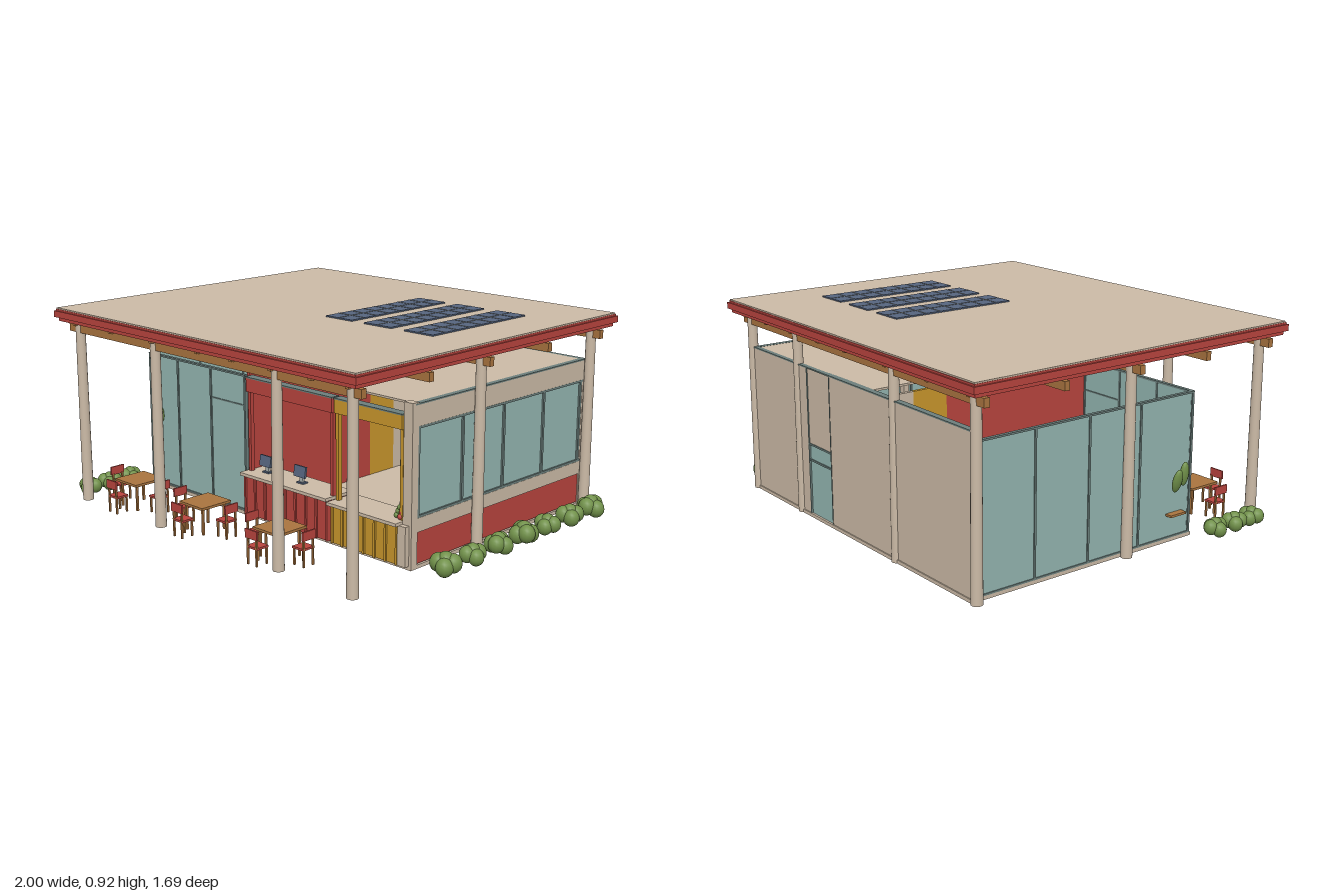
import * as THREE from 'three';

const mat = (name, color, side = THREE.FrontSide) => {
  const m = new THREE.MeshStandardMaterial({ color, side });
  m.name = name;
  return m;
};

export function createModel() {
  const root = new THREE.Group();
  root.name = 'cafePavilion';
  const tan = mat('tan plaster', 0xcbbaa6), red = mat('red paint', 0xb8443e), teal = mat('teal glass', 0x93b5b0);
  const gold = mat('gold paint', 0xc8962c), wood = mat('wood', 0xa9743f), green = mat('leaf green', 0x71914a);
  const slate = mat('slate blue', 0x56657f), trim = mat('grey trim', 0x6c7f7c), pale = mat('pale grey', 0xa9b0b0);

  // Box given by its minimum and maximum corners
  const box = (name, m, x0, x1, y0, y1, z0, z1, parent = root) => {
    const b = new THREE.Mesh(new THREE.BoxGeometry(x1 - x0, y1 - y0, z1 - z0), m);
    b.position.set((x0 + x1) / 2, (y0 + y1) / 2, (z0 + z1) / 2);
    b.name = name;
    parent.add(b);
    return b;
  };
  const group = (name, x = 0, y = 0, z = 0, parent = root) => {
    const g = new THREE.Group();
    g.name = name;
    g.position.set(x, y, z);
    parent.add(g);
    return g;
  };

  // Roof: stepped red fascia with a tan deck
  box('roofSoffit', red, -0.965, 0.905, 0.848, 0.866, -0.835, 0.825);
  box('roofFascia', red, -0.98, 0.92, 0.866, 0.895, -0.85, 0.84);
  box('roofRim', red, -0.972, 0.912, 0.895, 0.903, -0.843, 0.833);
  box('roofDeck', tan, -0.97, 0.91, 0.903, 0.909, -0.84, 0.83);

  // Beams across, rafters front to back
  for (const z of [0.765, 0.385, 0.01, -0.385, -0.77]) box('beam', wood, -0.95, 0.89, 0.798, 0.836, z - 0.013, z + 0.013);
  for (const x of [-0.885, -0.62, -0.33, -0.03, 0.185, 0.415, 0.64, 0.835])
    box('rafter', wood, x - 0.009, x + 0.009, 0.832, 0.849, -0.81, 0.8);

  // Columns
  const colX = [-0.885, -0.34, 0.42, 0.835];
  for (const z of [0.765, 0.01, -0.77]) {
    for (const x of z === 0.01 ? [colX[0], colX[3]] : colX) {
      const c = new THREE.Mesh(new THREE.CylinderGeometry(0.022, 0.025, 0.845, 20), tan);
      c.position.set(x, 0.4225, z);
      c.name = 'column';
      root.add(c);
    }
  }

  // Solar panels with cell lines
  for (const x of [0.147, 0.375, 0.605]) {
    const g = group('solarPanel', x, 0.914, -0.17);
    box('panelFace', slate, -0.078, 0.078, -0.003, 0.003, -0.31, 0.31, g);
    box('cellLine', pale, -0.002, 0.002, 0.003, 0.0045, -0.31, 0.31, g);
    for (let i = 1; i < 8; i++) {
      const z = -0.31 + i * 0.0775;
      box('cellLine', pale, -0.078, 0.078, 0.003, 0.0045, z - 0.002, z + 0.002, g);
    }
  }

  // Floor, back wall with doorway, right room ceiling
  box('floor', tan, -0.87, 0.81, 0, 0.016, -0.785, 0.4);
  box('backWall', tan, -0.87, 0.15, 0.016, 0.69, -0.78, -0.755);
  box('backWall', tan, 0.335, 0.81, 0.016, 0.69, -0.78, -0.755);
  box('backWallPanel', tan, 0.15, 0.335, 0.345, 0.69, -0.777, -0.757);
  box('backDoor', teal, 0.155, 0.33, 0.016, 0.34, -0.775, -0.76);
  for (const y of [0.265, 0.338]) box('doorBar', trim, 0.15, 0.335, y, y + 0.008, -0.781, -0.754);
  for (const x of [0.148, 0.335]) box('wallSeam', trim, x - 0.002, x + 0.002, 0.016, 0.69, -0.782, -0.753);
  box('backWallCap', trim, -0.87, 0.81, 0.688, 0.694, -0.782, -0.753);
  box('ceiling', tan, -0.165, 0.81, 0.685, 0.694, -0.76, 0.37);

  // Right wall: red plinth, sill, windows, header
  box('plinth', red, 0.79, 0.806, 0.02, 0.157, -0.76, 0.385);
  box('sill', tan, 0.788, 0.812, 0.157, 0.217, -0.76, 0.385);
  box('sideWindow', teal, 0.795, 0.803, 0.217, 0.6, -0.76, 0.375);
  box('header', tan, 0.79, 0.81, 0.6, 0.69, -0.76, 0.385);
  box('headerCap', trim, 0.786, 0.813, 0.689, 0.695, -0.76, 0.385);
  box('cornerPier', tan, 0.765, 0.812, 0.016, 0.7, 0.365, 0.402);
  for (const y of [0.217, 0.59]) box('windowRail', trim, 0.789, 0.811, y, y + 0.01, -0.76, 0.37);
  for (const z of [0.36, 0.083, -0.19, -0.47, -0.745]) box('mullion', trim, 0.789, 0.811, 0.217, 0.6, z - 0.006, z + 0.006);

  // Glass room: front and left glazing
  box('frontGlass', teal, -0.865, -0.185, 0.02, 0.645, 0.383, 0.392);
  for (const x of [-0.862, -0.655, -0.42, -0.188]) box('frontMullion', trim, x - 0.005, x + 0.005, 0.016, 0.65, 0.379, 0.397);
  for (const y of [0.016, 0.642]) box('frontRail', trim, -0.867, -0.183, y, y + 0.008, 0.379, 0.397);
  box('doorTransom', trim, -0.42, -0.188, 0.506, 0.512, 0.379, 0.396);
  box('leftGlass', teal, -0.866, -0.857, 0.02, 0.645, -0.755, 0.39);
  for (const z of [-0.75, -0.47, -0.19, 0.09, 0.388]) box('leftMullion', trim, -0.87, -0.853, 0.016, 0.65, z - 0.005, z + 0.005);
  for (const y of [0.016, 0.642]) box('leftRail', trim, -0.87, -0.853, y, y + 0.008, -0.755, 0.392);

  // Partition between glass room and kitchen
  box('partition', tan, -0.185, -0.168, 0.016, 0.66, -0.755, -0.57);
  box('partition', gold, -0.185, -0.168, 0.016, 0.66, -0.57, -0.4);
  box('partition', red, -0.185, -0.168, 0.016, 0.66, -0.4, 0.38);

  // Serving counters with ribbed fronts and canopy frames
  const counter = (name, m, x0, x1, top, ribs) => {
    const g = group(name);
    box('counterBody', m, x0, x1, 0.018, top - 0.014, 0.3, 0.42, g);
    for (let i = 0; i <= ribs; i++) {
      const x = x0 + 0.005 + (x1 - x0 - 0.01) * i / ribs;
      box('counterRib', m, x - 0.005, x + 0.005, 0.018, top - 0.014, 0.42, 0.428, g);
    }
    box('counterTop', tan, x0 - 0.008, x1 + 0.008, top - 0.014, top, 0.28, 0.445, g);
  };
  counter('redCounter', red, -0.165, 0.36, 0.215, 8);
  counter('goldCounter', gold, 0.38, 0.757, 0.202, 6);
  box('counterEnd', tan, 0.757, 0.8, 0.018, 0.19, 0.385, 0.425);
  for (const x of [-0.157, 0.357]) box('redPost', red, x - 0.008, x + 0.008, 0.215, 0.6, 0.375, 0.395);
  box('redCanopy', red, -0.167, 0.365, 0.58, 0.642, 0.365, 0.405);
  box('redCanopyCap', trim, -0.169, 0.367, 0.642, 0.648, 0.362, 0.407);
  for (const x of [0.388, 0.75]) box('goldPost', gold, x - 0.008, x + 0.008, 0.202, 0.6, 0.375, 0.395);
  box('goldCanopy', gold, 0.38, 0.758, 0.583, 0.642, 0.365, 0.405);
  box('goldCanopyCap', trim, 0.378, 0.76, 0.642, 0.648, 0.362, 0.407);

  // Kitchen: cold cabinet, duct, shelf light
  box('cabinet', pale, 0.255, 0.45, 0.016, 0.44, -0.35, -0.15);
  box('duct', tan, 0.335, 0.365, 0.44, 0.685, -0.27, -0.24);
  box('shelfLight', pale, 0.68, 0.79, 0.56, 0.573, 0.2, 0.3);
  box('shelfLightTop', pale, 0.7, 0.79, 0.573, 0.59, 0.22, 0.28);

  // Till screens
  for (const x of [-0.08, 0.14]) {
    const g = group('till', x, 0.215, 0.36);
    box('tillBase', slate, -0.02, 0.02, 0, 0.006, -0.015, 0.015, g);
    box('tillNeck', pale, -0.01, 0.01, 0.006, 0.04, -0.006, 0.006, g);
    box('tillScreen', slate, -0.035, 0.035, 0.03, 0.08, 0.006, 0.016, g).rotation.x = -0.15;
  }

  const blob = (name, m, r, x, y, z, sx, sy, sz, parent = root) => {
    const s = new THREE.Mesh(new THREE.SphereGeometry(r, 14, 10), m);
    s.position.set(x, y, z);
    s.scale.set(sx, sy, sz);
    s.name = name;
    parent.add(s);
    return s;
  };

  // Fruit pile on the gold counter
  const fruit = group('fruitPile', 0.735, 0.202, 0.37);
  [[5, 0.024, 0.012], [4, 0.017, 0.03], [3, 0.011, 0.047], [1, 0, 0.064]].forEach(([n, r, y], k) => {
    for (let i = 0; i < n; i++) {
      const a = i / n * Math.PI * 2 + k;
      blob('fruit', [gold, red, green][(i + k) % 3], 0.012, Math.cos(a) * r, y, Math.sin(a) * r, 1, 1, 1, fruit);
    }
  });

  // Wall leaves and planter shelf
  blob('frontLeaf', green, 0.035, -0.78, 0.36, 0.397, 0.42, 1, 0.15);
  blob('sideLeaf', green, 0.055, -0.91, 0.285, 0.27, 0.3, 1, 0.45).rotation.z = 0.25;
  blob('sideLeaf', green, 0.055, -0.89, 0.3, 0.33, 0.3, 1, 0.4).rotation.z = 0.1;
  box('leafShelf', wood, -0.9, -0.868, 0.12, 0.13, 0.25, 0.34);

  // Cafe tables, each with three chairs
  const chair = (x, z, turn, parent) => {
    const g = group('chair', x, 0, z, parent);
    g.rotation.y = turn;
    box('seat', red, -0.032, 0.032, 0.072, 0.081, -0.032, 0.032, g);
    box('backrest', red, -0.036, 0.036, 0.115, 0.154, 0.028, 0.036, g);
    for (const sx of [-0.026, 0.026]) {
      box('frontLeg', wood, sx - 0.004, sx + 0.004, 0, 0.073, -0.03, -0.022, g);
      box('backLeg', wood, sx - 0.004, sx + 0.004, 0, 0.12, 0.025, 0.033, g);
    }
  };
  for (const x of [-0.637, -0.172, 0.305]) {
    const g = group('diningSet', x, 0, 0.65);
    box('tableTop', wood, -0.077, 0.077, 0.12, 0.131, -0.082, 0.082, g);
    for (const sx of [-0.055, 0.055]) for (const sz of [-0.06, 0.06])
      box('tableLeg', wood, sx - 0.005, sx + 0.005, 0, 0.12, sz - 0.005, sz + 0.005, g);
    chair(0, 0.125, 0, g);
    chair(-0.14, 0, -Math.PI / 2, g);
    chair(0.14, 0, Math.PI / 2, g);
  }

  // Rounded shrubs made of overlapping lobes
  const shrub = (x, z, s, turn) => {
    const g = group('shrub', x, 0, z);
    g.scale.setScalar(s);
    for (let i = 0; i < 4; i++) {
      const a = turn + i * Math.PI / 2;
      blob('shrubLobe', green, 0.037, Math.cos(a) * 0.029, 0.04 + (i % 2) * 0.01, Math.sin(a) * 0.029, 1, 1.07, 1, g);
    }
    blob('shrubLobe', green, 0.035, 0, 0.062, 0, 1, 1, 1, g);
  };
  [-0.68, -0.52, -0.355, -0.185, -0.01, 0.16, 0.33].forEach((z, i) => shrub(0.935, z, 1.03 - (i % 3) * 0.05, i * 0.7));
  [0.48, 0.6, 0.71].forEach((z, i) => shrub(-0.942, z, 0.87, i * 0.6));

  return root;
}
